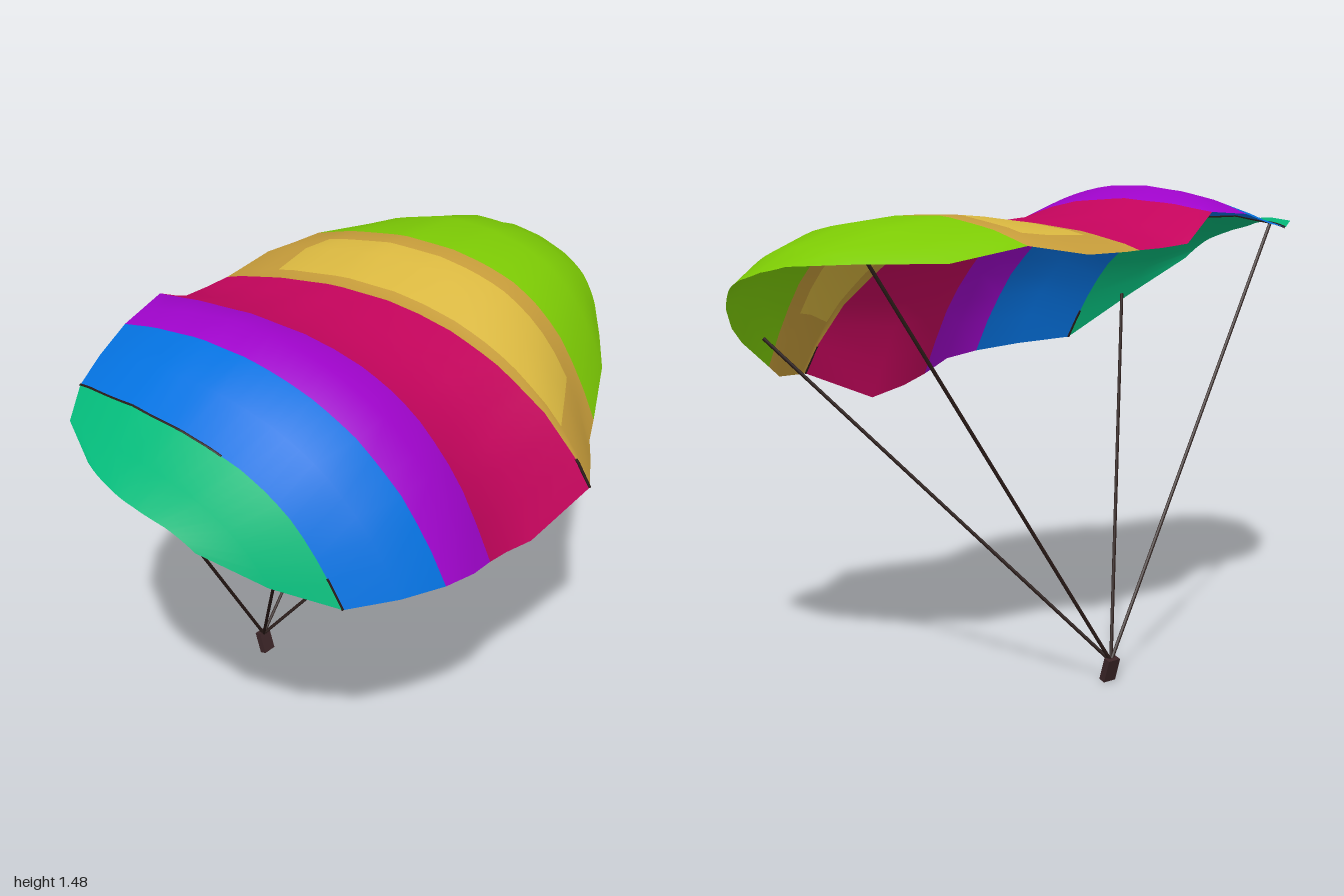
import * as THREE from 'three';

const mat = (name, color, side = THREE.FrontSide) => {
  const m = new THREE.MeshStandardMaterial({ color, side });
  m.name = name;
  return m;
};

// Ridge height of the canopy by depth: [z, y]
const RIDGE = [[-0.6, 1.41], [-0.55, 1.43], [-0.4, 1.465], [-0.22, 1.485], [-0.05, 1.472], [0.05, 1.447],
  [0.15, 1.41], [0.23, 1.365], [0.31, 1.31], [0.38, 1.24], [0.45, 1.165], [0.55, 1.0], [0.6, 0.88]];

function ridgeY(z) {
  let k = 0;
  while (k < RIDGE.length - 2 && z > RIDGE[k + 1][0]) k++;
  const [a, b] = [RIDGE[k], RIDGE[k + 1]];
  return a[1] + (b[1] - a[1]) * (z - a[0]) / (b[0] - a[0]);
}

// Ribs from left to right: back x, z, y; front x, z, y; sag below the ridge at mid-length; sideways bulge
const RIBS = [
  [-0.975, -0.14, 1.33, -0.94, 0.22, 1.17, 0.17, -0.042],
  [-0.87, -0.32, 1.345, -0.80, 0.355, 1.04, 0.145, -0.04],
  [-0.71, -0.445, 1.345, -0.60, 0.45, 0.90, 0.125, -0.05],
  [-0.58, -0.495, 1.37, -0.44, 0.53, 0.885, 0.06, -0.05],
  [-0.45, -0.52, 1.41, -0.29, 0.575, 0.87, 0.02, -0.045],
  [-0.36, -0.535, 1.42, -0.17, 0.585, 0.855, 0, -0.03],
  [-0.27, -0.55, 1.43, -0.05, 0.555, 0.82, 0.04, -0.015],
  [-0.13, -0.59, 1.35, 0.05, 0.54, 0.795, 0.072, -0.015],
  [-0.03, -0.588, 1.345, 0.18, 0.54, 0.77, 0.075, -0.02],
  [0.06, -0.585, 1.345, 0.41, 0.59, 0.87, 0.085, -0.02],
  [0.115, -0.59, 1.345, 0.435, 0.573, 0.873, 0.075, -0.02],
  [0.27, -0.6, 1.35, 0.53, 0.508, 0.888, 0.05, -0.015],
  [0.35, -0.56, 1.365, 0.60, 0.455, 0.90, 0.04, -0.01],
  [0.43, -0.525, 1.38, 0.655, 0.43, 0.94, 0.038, -0.015],
  [0.67, -0.475, 1.345, 0.80, 0.355, 1.04, 0.05, 0],
  [0.87, -0.32, 1.345, 0.88, 0.285, 1.10, 0.10, 0.015],
  [0.975, -0.14, 1.33, 0.94, 0.22, 1.17, 0.17, 0.042],
];
const ROWS = 24;

function ribPoint(rib, t) {
  const [xb, zb, yb, xf, zf, yf, sag, bulge] = rib;
  const x = xb + (xf - xb) * t + bulge * 4 * t * (1 - t);
  const z = zb + (zf - zb) * t;
  // Cloth follows the ridge and drops away close to its rim
  const s = 2 * t - 1;
  const drop = s < 0
    ? sag + (ridgeY(zb) - yb - sag) * s * s
    : sag + (ridgeY(zf) - yf - sag) * s ** 4;
  return new THREE.Vector3(x, ridgeY(z) - drop, z);
}

// Colour panel for one cell of the canopy grid
function panelOf(i, j) {
  if (i < 2) return 'greenPanel';
  if (i < 4) return 'bluePanel';
  if (i < 6) return 'purplePanel';
  if (i < 9) return 'pinkPanel';
  if (i < 13) return (i === 10 || i === 11) && j >= 3 && j < ROWS - 2 ? 'yellowPatch' : 'ochrePanel';
  return 'limePanel';
}

function buildCanopy() {
  const canopy = new THREE.Group();
  canopy.name = 'canopy';
  const positions = [], all = [], panels = {};
  for (const rib of RIBS) {
    for (let j = 0; j <= ROWS; j++) positions.push(...ribPoint(rib, j / ROWS).toArray());
  }
  for (let i = 0; i < RIBS.length - 1; i++) {
    for (let j = 0; j < ROWS; j++) {
      const a = i * (ROWS + 1) + j, c = a + ROWS + 1;
      const cell = [a, a + 1, c, a + 1, c + 1, c];
      all.push(...cell);
      (panels[panelOf(i, j)] ??= []).push(...cell);
    }
  }
  // Normals are shared so the cloth stays smooth across panels
  const cloth = new THREE.BufferGeometry();
  cloth.setAttribute('position', new THREE.Float32BufferAttribute(positions, 3));
  cloth.setIndex(all);
  cloth.computeVertexNormals();

  const colors = {
    greenPanel: 0x04ba7a, bluePanel: 0x0472e0, purplePanel: 0xa004cc, pinkPanel: 0xc4045c,
    ochrePanel: 0xc69c3a, yellowPatch: 0xdab840, limePanel: 0x7dcb04,
  };
  for (const [name, index] of Object.entries(panels)) {
    const g = new THREE.BufferGeometry();
    g.setAttribute('position', cloth.getAttribute('position'));
    g.setAttribute('normal', cloth.getAttribute('normal'));
    g.setIndex(index);
    const mesh = new THREE.Mesh(g, mat(name.replace('P', ' p'), colors[name], THREE.DoubleSide));
    mesh.name = name;
    canopy.add(mesh);
  }
  return canopy;
}

// Dark stitched seam along part of a rib
function seam(rib, t0, t1, radius, material) {
  const points = Array.from({ length: 13 }, (_, k) => ribPoint(rib, t0 + (t1 - t0) * k / 12));
  const path = new THREE.CatmullRomCurve3(points);
  const mesh = new THREE.Mesh(new THREE.TubeGeometry(path, 24, radius, 5), material);
  mesh.name = 'seam';
  return mesh;
}

// Thin straight cord between two points
function cord(from, to, material) {
  const dir = to.clone().sub(from);
  const mesh = new THREE.Mesh(new THREE.CylinderGeometry(0.0055, 0.0055, dir.length(), 6), material);
  mesh.position.copy(from).addScaledVector(dir, 0.5);
  mesh.quaternion.setFromUnitVectors(new THREE.Vector3(0, 1, 0), dir.normalize());
  return mesh;
}

export function createModel() {
  const model = new THREE.Group();
  model.name = 'parachute';
  model.add(buildCanopy());

  // Seams beside the blue and ochre panels
  const cordMat = mat('dark brown cord', 0x291a17);
  model.add(
    seam(RIBS[2], 0, 0.6, 0.004, cordMat),
    seam(RIBS[2], 0.95, 1, 0.004, cordMat),
    seam(RIBS[9], 0.96, 1, 0.005, cordMat),
  );

  // Four suspension cords meeting at the handle
  const knot = new THREE.Vector3(0, 0.065, -0.417);
  for (const side of [-1, 1]) {
    const front = cord(knot, new THREE.Vector3(side * 0.74, 1.05, 0.33), cordMat);
    front.name = 'frontCord';
    const back = cord(knot, new THREE.Vector3(side * 0.81, 1.345, -0.29), cordMat);
    back.name = 'backCord';
    model.add(front, back);
  }

  // Small tilted handle
  const handle = new THREE.Mesh(new THREE.BoxGeometry(0.046, 0.074, 0.022), mat('brown handle', 0x3a2426));
  handle.name = 'handle';
  handle.position.set(0, 0.039, -0.412);
  handle.rotation.x = -0.3;
  model.add(handle);

  return model;
}
